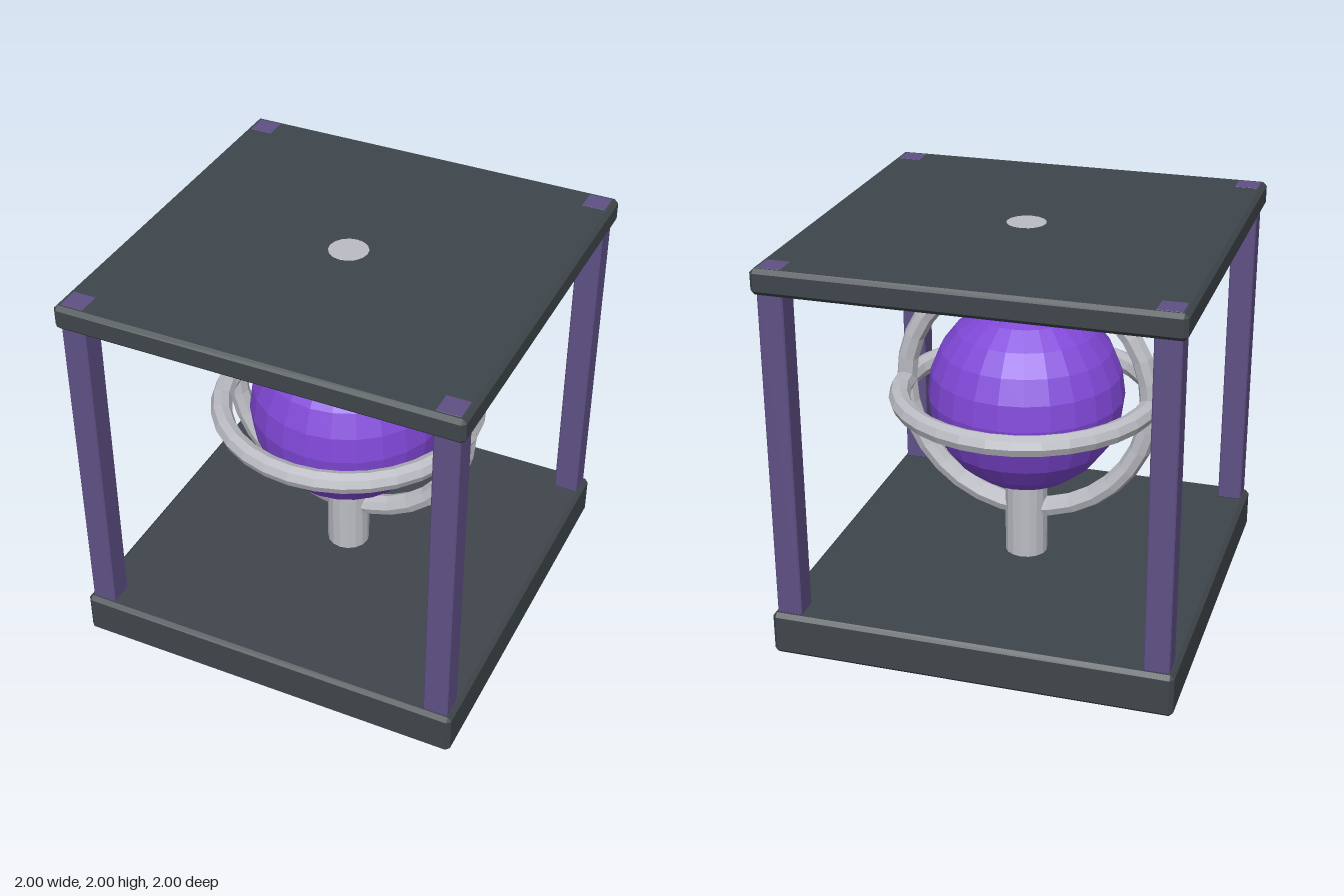
import * as THREE from 'three';
import { ConvexGeometry } from 'three/addons/geometries/ConvexGeometry.js';

const slate = new THREE.MeshStandardMaterial({ color: 0x3f464b });
slate.name = 'darkSlate';
const mutedPurple = new THREE.MeshStandardMaterial({ color: 0x5f5085 });
mutedPurple.name = 'mutedPurple';
const brightPurple = new THREE.MeshStandardMaterial({ color: 0x8148d8 });
brightPurple.name = 'brightPurple';
const silver = new THREE.MeshStandardMaterial({ color: 0xbcbdc4 });
silver.name = 'silver';

const CORE_Y = 1.108;

// Faceted normals
function flat(geometry) {
  const g = geometry.index ? geometry.toNonIndexed() : geometry;
  g.computeVertexNormals();
  return g;
}

// Box with every edge chamfered by c
function chamferBox(w, h, d, c) {
  const points = [];
  for (const x of [-1, 1]) for (const y of [-1, 1]) for (const z of [-1, 1]) {
    for (let axis = 0; axis < 3; axis++) {
      const inset = [c, c, c];
      inset[axis] = 0;
      points.push(new THREE.Vector3(
        x * (w / 2 - inset[0]), y * (h / 2 - inset[1]), z * (d / 2 - inset[2])));
    }
  }
  return flat(new ConvexGeometry(points));
}

// Cylinder with chamfered rims, standing from y0 to y1
function chamferCylinder(r, y0, y1, c) {
  const profile = [[0, y0], [r - c, y0], [r, y0 + c], [r, y1 - c], [r - c, y1], [0, y1]]
    .map(([x, y]) => new THREE.Vector2(x, y));
  return flat(new THREE.LatheGeometry(profile, 16));
}

export function createModel() {
  const model = new THREE.Group();
  model.name = 'cagedOrb';

  function add(name, geometry, material, x = 0, y = 0, z = 0) {
    const mesh = new THREE.Mesh(geometry, material);
    mesh.name = name;
    mesh.position.set(x, y, z);
    model.add(mesh);
    return mesh;
  }

  // Plates
  add('basePlate', chamferBox(2, 0.222, 2, 0.02), slate, 0, 0.111, 0);
  add('topPlate', chamferBox(2, 0.125, 2, 0.02), slate, 0, 1.9365, 0);

  // Corner posts, showing through the top plate
  const post = chamferBox(0.125, 1.78, 0.125, 0.006);
  for (const [side, x] of [['left', 1], ['right', -1]]) {
    for (const [end, z] of [['Front', 1], ['Back', -1]]) {
      add(`${side}${end}Post`, post, mutedPurple, x * 0.913, 1.11, z * 0.913);
    }
  }

  // Core sphere between two spindles
  add('coreSphere', flat(new THREE.SphereGeometry(0.495, 24, 12)), brightPurple, 0, CORE_Y, 0);
  add('lowerSpindle', chamferCylinder(0.109, 0.2, 0.66, 0.012), silver);
  add('upperSpindle', chamferCylinder(0.109, 1.605, 2, 0.012), silver);

  // Crossed rings
  const ring = flat(new THREE.TorusGeometry(0.637, 0.054, 8, 32));
  add('verticalRing', ring, silver, 0, CORE_Y, 0);
  add('horizontalRing', ring, silver, 0, CORE_Y, 0).rotation.x = Math.PI / 2;

  return model;
}
